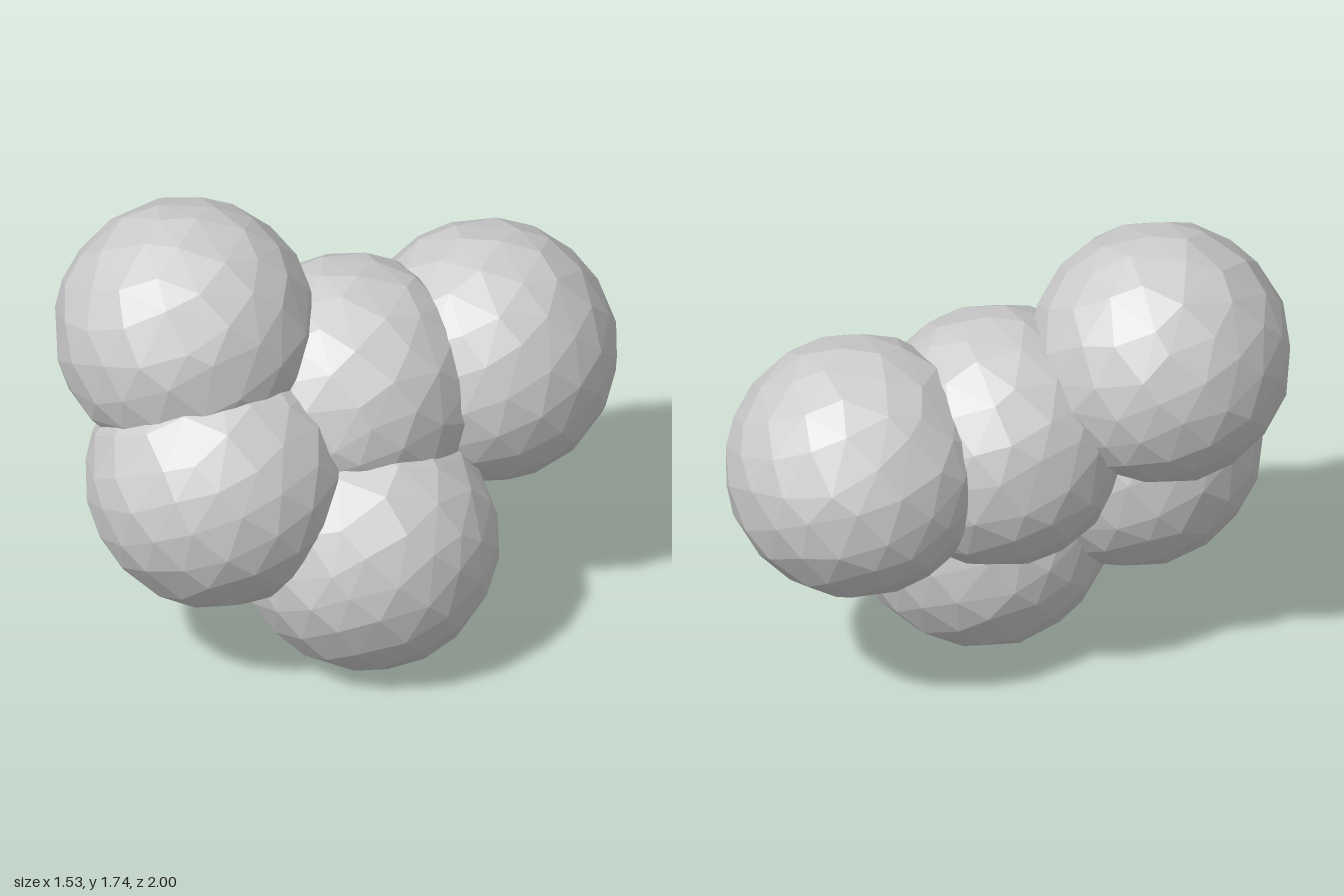
import * as THREE from 'three';
import { ConvexGeometry } from 'three/addons/geometries/ConvexGeometry.js';

// Small seeded generator, values in -0.5..0.5
function seeded(seed) {
  let s = seed;
  return () => {
    s = (s * 16807) % 2147483647;
    return s / 2147483647 - 0.5;
  };
}

// Irregularly faceted ball: hull of jittered points spread over a sphere
function facetedBall(radius, count, seed) {
  const rand = seeded(seed);
  const points = [];
  for (let i = 0; i < count; i++) {
    const y = 1 - (2 * (i + 0.5)) / count;
    const ring = Math.sqrt(1 - y * y);
    const a = i * Math.PI * (3 - Math.sqrt(5));
    const p = new THREE.Vector3(Math.cos(a) * ring, y, Math.sin(a) * ring);
    p.add(new THREE.Vector3(rand(), rand(), rand()).multiplyScalar(0.11));
    points.push(p.setLength(radius * (1 + 0.012 * rand())));
  }
  return new ConvexGeometry(points);
}

export function createModel() {
  const group = new THREE.Group();
  group.name = 'ballCluster';
  const material = new THREE.MeshStandardMaterial({ color: 0xcccccc, flatShading: true });

  // Five equal overlapping balls
  const balls = [
    ['upperBall', -0.3, 1.267, 0.433],
    ['frontBall', -0.067, 0.783, 0.527],
    ['middleBall', 0.07, 0.967, -0.03],
    ['rearBall', 0.288, 0.967, -0.527],
    ['lowerBall', 0.288, 0.474, 0.117],
  ];
  balls.forEach(([name, x, y, z], i) => {
    const ball = new THREE.Mesh(facetedBall(0.477, 125, 1000 + 7919 * (i + 1)), material);
    ball.name = name;
    ball.position.set(x, y, z);
    group.add(ball);
  });
  return group;
}
